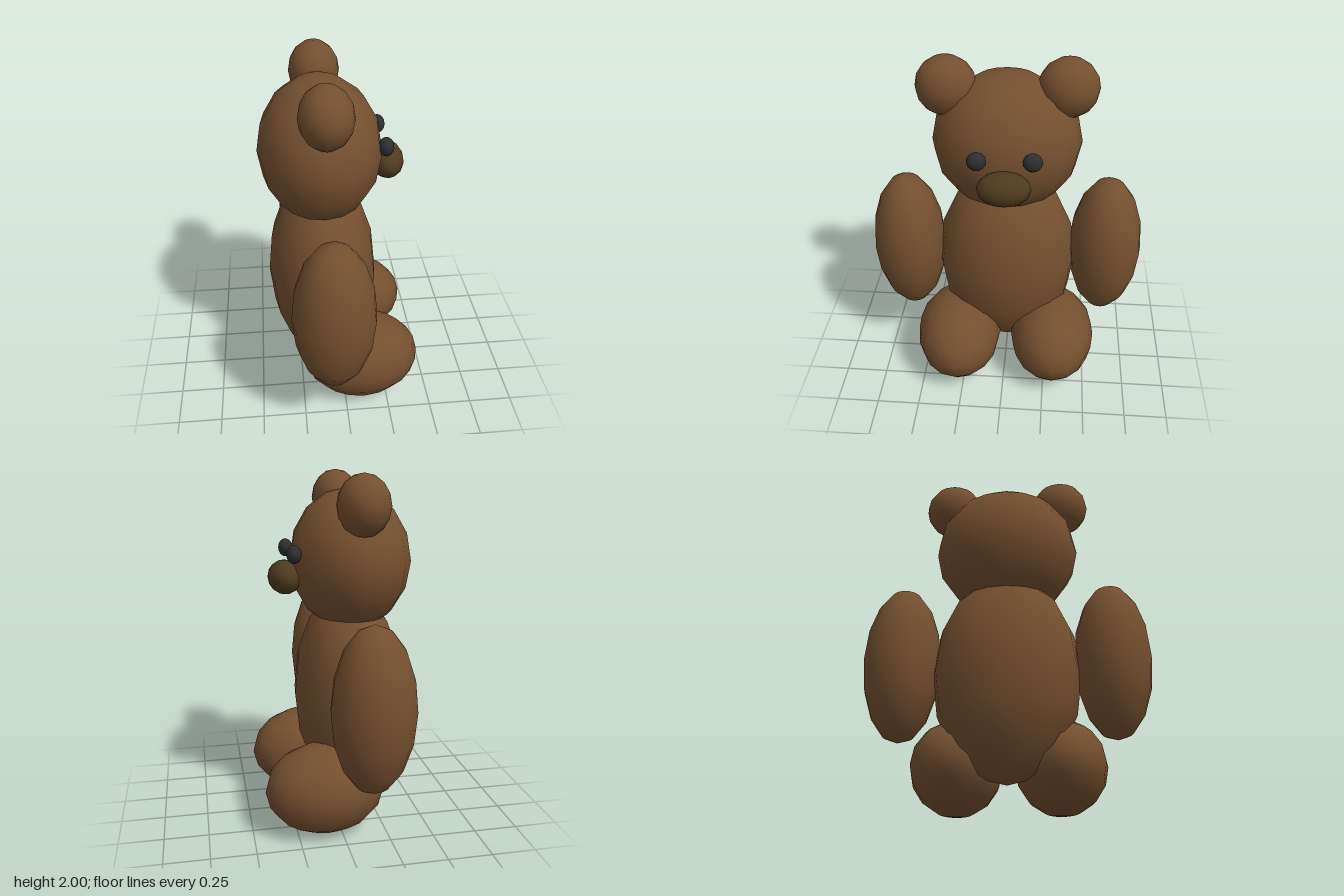
import * as THREE from 'three';

export function createModel() {
  const brownFur = new THREE.MeshStandardMaterial({ color: 0x75502f });
  const darkMuzzle = new THREE.MeshStandardMaterial({ color: 0x4f3b1f });
  const blackEye = new THREE.MeshStandardMaterial({ color: 0x2d2f31 });
  const ball = new THREE.SphereGeometry(1, 16, 8);

  const model = new THREE.Group();
  model.name = 'teddyBear';

  // The bear looks along +x, turned very slightly about its own axis
  const bear = new THREE.Group();
  bear.name = 'bear';
  bear.position.x = -0.105;
  bear.rotation.y = 0.027;
  model.add(bear);

  // One stretched ball: centre and half sizes
  function blob(name, material, centre, radii) {
    const mesh = new THREE.Mesh(ball, material);
    mesh.name = name;
    mesh.position.set(...centre);
    mesh.scale.set(...radii);
    bear.add(mesh);
  }

  // Body, head and muzzle
  blob('body', brownFur, [0, 0.73, 0], [0.315, 0.61, 0.413]);
  blob('head', brownFur, [-0.005, 1.515, 0], [0.34, 0.4, 0.416]);
  blob('muzzle', darkMuzzle, [0.365, 1.425, 0.003], [0.095, 0.095, 0.145]);

  // Paired parts; the bear's own left is -z
  for (const [side, s] of [['left', -1], ['right', 1]]) {
    blob(side + 'Ear', brownFur, [0, 1.835, s * 0.325], [0.142, 0.165, 0.166]);
    blob(side + 'Eye', blackEye, [0.336, 1.57, s * 0.145], [0.041, 0.051, 0.052]);
    blob(side + 'Arm', brownFur, [0.005, 0.815, s * 0.59], [0.228, 0.46, 0.216]);
    blob(side + 'Leg', brownFur, [0.2, 0.26, s * 0.29], [0.34, 0.26, 0.257]);
  }
  return model;
}
